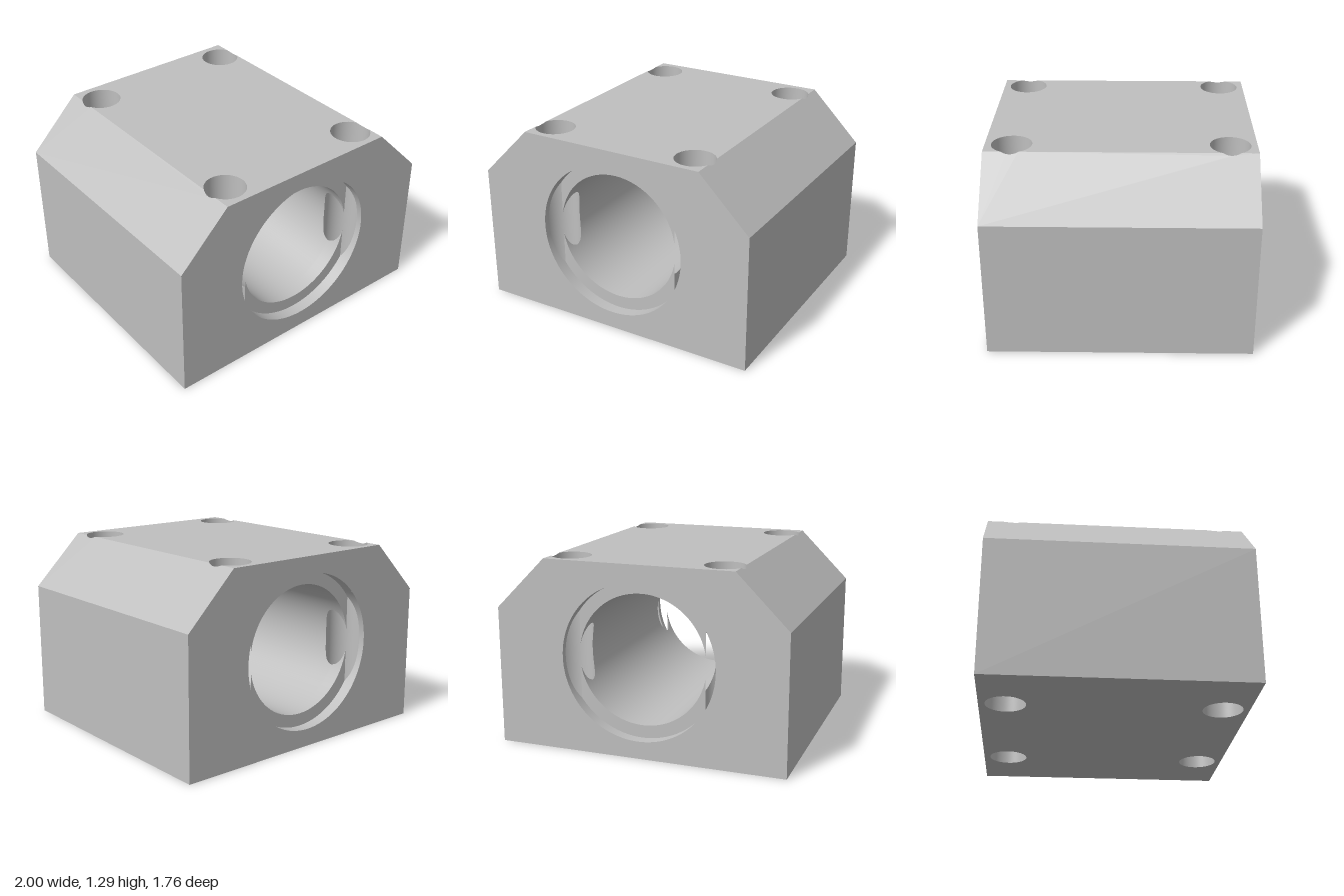
import * as THREE from 'three';

// Block, main bore with a shallow counterbore at each end, four vertical bolt holes
const W = 1, D = 0.88, H = 1.295, EDGE = 0.65, SHOULDER = 0.945;
const CY = 0.65, BORE = 0.443, SEAT = 0.53, SEAT_Z = 0.8;
const HX = 0.53, HZ = 0.705, HR = 0.133;
const half = (r, d) => Math.sqrt(Math.max(0, r * r - d * d));
const topY = x => (Math.abs(x) <= EDGE ? H : H - (Math.abs(x) - EDGE) * (H - SHOULDER) / (W - EDGE));

// Evenly spaced angles plus the exact ones where an edge changes
function angles(n, extra) {
  const list = extra.filter(Number.isFinite).map(a => (a + 4 * Math.PI) % (2 * Math.PI));
  for (let i = 0; i <= n; i++) list.push(i / n * 2 * Math.PI);
  return list.sort((a, b) => a - b);
}

// Curved wall of straight segments: segment(angle, mid) gives its two ends, normal(angle) its direction
function wall(list, segment, normal) {
  const pos = [], nor = [];
  const A = new THREE.Vector3(), B = new THREE.Vector3(), C = new THREE.Vector3();
  const triangle = (...v) => {
    A.fromArray(v[0].p); B.fromArray(v[1].p).sub(A); C.fromArray(v[2].p).sub(A);
    const facing = B.cross(C);
    if (facing.length() < 1e-9) return;
    const order = facing.dot(new THREE.Vector3(...v[0].n)) > 0 ? [0, 1, 2] : [0, 2, 1];
    for (const k of order) { pos.push(...v[k].p); nor.push(...v[k].n); }
  };
  for (let i = 0; i + 1 < list.length; i++) {
    const a = list[i], b = list[i + 1], mid = (a + b) / 2;
    if (b - a < 1e-7) continue;
    const [a0, a1] = segment(a, mid).map(p => ({ p, n: normal(a) }));
    const [b0, b1] = segment(b, mid).map(p => ({ p, n: normal(b) }));
    triangle(a0, b0, b1);
    triangle(a0, b1, a1);
  }
  const g = new THREE.BufferGeometry();
  g.setAttribute('position', new THREE.Float32BufferAttribute(pos, 3));
  g.setAttribute('normal', new THREE.Float32BufferAttribute(nor, 3));
  return g;
}

const shapeOf = pts => new THREE.Shape(pts.map(p => new THREE.Vector2(...p)));
const circle = (x, y, r) => new THREE.Path().absarc(x, y, r, 0, 2 * Math.PI, true);
function arc(cx, cy, r, from, to, n = 48) {
  const pts = [];
  for (let i = 0; i <= n; i++) {
    const a = from + (to - from) * i / n;
    pts.push([cx + r * Math.cos(a), cy + r * Math.sin(a)]);
  }
  return pts;
}

export function createModel() {
  const group = new THREE.Group();
  const metal = new THREE.MeshStandardMaterial({ color: 0xbfbfbf });
  metal.name = 'lightGrey';
  const add = (name, geometry) => {
    const mesh = new THREE.Mesh(geometry, metal);
    mesh.name = name;
    group.add(mesh);
    return mesh;
  };

  // End faces
  const end = shapeOf([[-W, 0], [W, 0], [W, SHOULDER], [EDGE, H], [-EDGE, H], [-W, SHOULDER]]);
  end.holes.push(circle(0, CY, SEAT));
  const endGeo = new THREE.ShapeGeometry(end, 64).translate(0, 0, D);
  add('frontFace', endGeo);
  add('backFace', endGeo).rotation.y = Math.PI;

  // Underside
  const base = shapeOf([[-W, -D], [W, -D], [W, D], [-W, D]]);
  for (const x of [-HX, HX]) for (const z of [-HZ, HZ]) base.holes.push(circle(x, z, HR));
  add('underside', new THREE.ShapeGeometry(base, 32).rotateX(Math.PI / 2));

  // Top and chamfers, notched where the bolt holes cross their shared edge
  const cut = Math.acos((EDGE - HX) / HR);
  const notches = (s, toAngle) => [-HZ, HZ].flatMap(z =>
    arc(HX, z, HR, -cut, toAngle).map(([x, y]) => [s * x, y]));
  const longWay = cut - 2 * Math.PI;
  const plan = (pts) => {
    const g = new THREE.ShapeGeometry(shapeOf(pts)).rotateX(-Math.PI / 2);
    const p = g.attributes.position;
    for (let i = 0; i < p.count; i++) p.setY(i, topY(p.getX(i)));
    g.computeVertexNormals();
    return g;
  };
  add('top', plan([[EDGE, -D], ...notches(1, longWay), [EDGE, D],
    [-EDGE, D], ...notches(-1, longWay).reverse(), [-EDGE, -D]]));
  for (const s of [1, -1]) {
    const side = s > 0 ? 'left' : 'right';
    add(side + 'Chamfer', plan([[s * EDGE, -D], ...notches(s, cut), [s * EDGE, D], [s * W, D], [s * W, -D]]));
    add(side + 'Side', new THREE.PlaneGeometry(2 * D, SHOULDER).rotateY(s * Math.PI / 2)
      .translate(s * W, SHOULDER / 2, 0));
  }

  // Main bore, opened where the bolt holes run through it
  const round = (r, t, z) => [r * Math.cos(t), CY + r * Math.sin(t), z];
  const inward = t => [-Math.cos(t), -Math.sin(t), 0];
  const reach = (r, t) => half(HR, Math.abs(r * Math.cos(t)) - HX);
  const seatCut = HX - half(HR, SEAT_Z - HZ);
  const around = (r, x) => {
    const a = Math.acos(x / r);
    return [a, -a, Math.PI - a, Math.PI + a];
  };
  const boreAngles = angles(192, [...around(BORE, HX - HR), ...around(BORE, seatCut)]);
  add('bore', wall(boreAngles, t => {
    const z = HZ - reach(BORE, t);
    return [round(BORE, t, -z), round(BORE, t, z)];
  }, inward));

  const seatAngles = angles(192, around(SEAT, seatCut));
  const floorOuter = Math.acos(seatCut / SEAT), floorInner = Math.acos(seatCut / BORE);
  for (const s of [1, -1]) {
    const place = s > 0 ? 'front' : 'back';
    add(place + 'BoreRim', wall(boreAngles, t => [
      round(BORE, t, s * Math.min(SEAT_Z, HZ + reach(BORE, t))), round(BORE, t, s * SEAT_Z)], inward));
    add(place + 'CounterboreWall', wall(seatAngles, t => [
      round(SEAT, t, s * Math.max(SEAT_Z, HZ + reach(SEAT, t))), round(SEAT, t, s * D)], inward));
    // Counterbore floor, upper and lower crescents
    for (const turn of [0, Math.PI]) {
      const pts = [...arc(0, 0, SEAT, floorOuter, Math.PI - floorOuter),
        ...arc(0, 0, BORE, Math.PI - floorInner, floorInner, 80)];
      const g = new THREE.ShapeGeometry(shapeOf(pts)).rotateZ(turn).translate(0, CY, SEAT_Z);
      if (s < 0) g.rotateY(Math.PI);
      add(place + 'CounterboreFloor', g);
    }
  }

  // Bolt hole walls, below and above the bore
  const seatA = Math.asin((SEAT_Z - HZ) / HR), boreA = Math.acos((BORE - HX) / HR);
  const edgeA = Math.acos((EDGE - HX) / HR);
  const holeAngles = angles(128, [seatA, Math.PI - seatA, boreA, -boreA, edgeA, -edgeA]);
  for (const sx of [1, -1]) for (const sz of [1, -1]) {
    const normal = a => [-sx * Math.cos(a), 0, -sz * Math.sin(a)];
    const part = up => wall(holeAngles, (a, mid) => {
      const x = HX + HR * Math.cos(a), z = HZ + HR * Math.sin(a);
      const r = HZ + HR * Math.sin(mid) > SEAT_Z ? SEAT : BORE;
      const gap = half(r, x);
      return [[sx * x, up ? CY + gap : 0, sz * z], [sx * x, up ? topY(x) : CY - gap, sz * z]];
    }, normal);
    add('boltHoleLower', part(false));
    add('boltHoleUpper', part(true));
  }
  return group;
}
